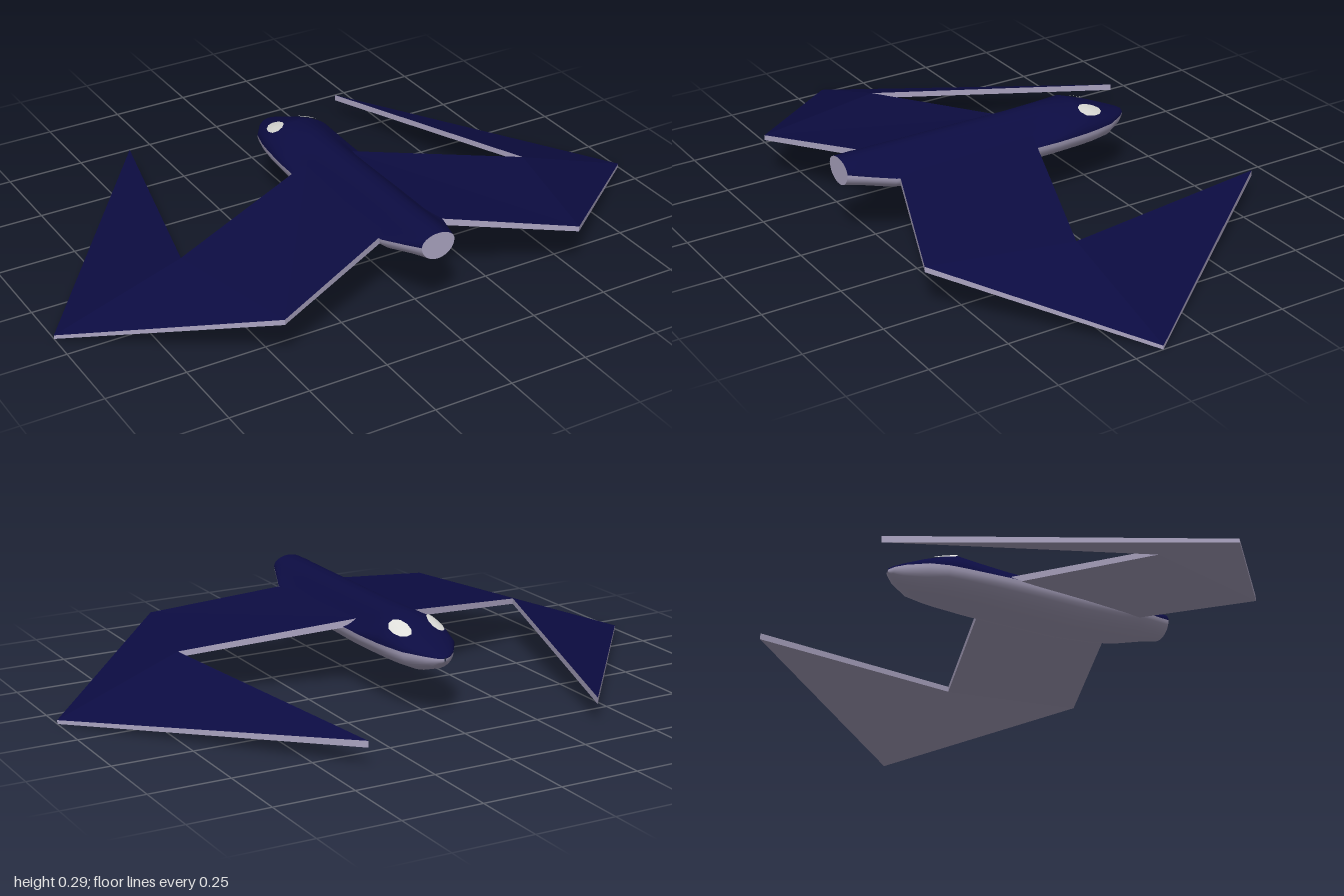
import * as THREE from 'three';

const navy = new THREE.MeshStandardMaterial({ name: 'navy', color: 0x0c0c42 });
const pale = new THREE.MeshStandardMaterial({ name: 'paleLavender', color: 0xaca5c2 });
const white = new THREE.MeshStandardMaterial({ name: 'eyeWhite', color: 0xdededa });

// Body stations: z, half width, top, seam height, bottom, shoulder amount
const stations = [
  [-0.385, 0.003, 0.199, 0.195, 0.186, 0],
  [-0.375, 0.025, 0.205, 0.197, 0.176, 0],
  [-0.350, 0.050, 0.215, 0.200, 0.157, 0],
  [-0.290, 0.090, 0.240, 0.204, 0.137, 0],
  [-0.230, 0.106, 0.264, 0.206, 0.134, 0],
  [-0.180, 0.113, 0.284, 0.206, 0.133, 0.1],
  [-0.080, 0.121, 0.286, 0.207, 0.133, 0.5],
  [0.020, 0.125, 0.286, 0.210, 0.133, 1],
  [0.250, 0.122, 0.286, 0.216, 0.137, 1],
  [0.400, 0.115, 0.286, 0.221, 0.153, 1],
  [0.480, 0.107, 0.286, 0.225, 0.170, 0.8],
  [0.560, 0.076, 0.286, 0.239, 0.190, 0.3],
  [0.615, 0.055, 0.284, 0.250, 0.200, 0]
];
const STEPS = 20;

// Height of the upper body as a fraction, for a sideways fraction 0..1
function upperHeight(t, shoulder) {
  const round = Math.sqrt(Math.max(0, 1 - t * t));
  const shouldered = 0.5 + 0.5 * Math.cos(Math.PI * Math.pow(t, 1.15));
  return THREE.MathUtils.lerp(round, shouldered, shoulder);
}

function bodyPoint([z, w, top, mid, bottom, shoulder], angle) {
  const c = Math.cos(angle), s = Math.sin(angle);
  const y = s >= 0
    ? mid + (top - mid) * upperHeight(Math.abs(c), shoulder)
    : mid + (mid - bottom) * s;
  return [w * c, y, z];
}

function makeGeometry(points, index) {
  const g = new THREE.BufferGeometry();
  g.setAttribute('position', new THREE.Float32BufferAttribute(points.flat(), 3));
  g.setIndex(index);
  return g;
}

// Half of the body skin, lofted through the stations
function bodyHalf(startAngle) {
  const points = [], index = [], n = STEPS + 1;
  stations.forEach((station, i) => {
    for (let j = 0; j < n; j++) {
      points.push(bodyPoint(station, startAngle + (Math.PI * j) / STEPS));
      if (i && j) {
        const d = i * n + j, c = d - 1, b = d - n, a = b - 1;
        index.push(a, b, c, b, d, c);
      }
    }
  });
  const g = makeGeometry(points, index);
  g.computeVertexNormals();
  return g;
}

// Flat end of the tail
function tailCap() {
  const last = stations[stations.length - 1];
  const points = [[0, last[3], last[0]]], index = [], n = STEPS * 2;
  for (let j = 0; j < n; j++) {
    points.push(bodyPoint(last, (2 * Math.PI * j) / n));
    index.push(0, 1 + j, 1 + ((j + 1) % n));
  }
  const g = makeGeometry(points, index);
  g.computeVertexNormals();
  return g;
}

// Height of the body surface above a point near the nose
function surfaceY(x, z) {
  let i = 0;
  while (i < stations.length - 2 && stations[i + 1][0] < z) i++;
  const k = (z - stations[i][0]) / (stations[i + 1][0] - stations[i][0]);
  const [, w, top, mid, , shoulder] = stations[i].map((v, m) => THREE.MathUtils.lerp(v, stations[i + 1][m], k));
  return mid + (top - mid) * upperHeight(Math.min(1, Math.abs(x) / w), shoulder);
}

// Eye: an oval patch laid just over the body surface
function eye(side) {
  const points = [], index = [], n = 10, rings = 4;
  for (let r = 0; r <= rings; r++) {
    for (let j = 0; j < n; j++) {
      const a = (2 * Math.PI * j) / n, k = r / rings;
      const dx = 0.025 * k * Math.cos(a), dz = 0.045 * k * Math.sin(a);
      const x = 0.061 + dx + dz * 0.15, z = -0.226 + dz;
      points.push([side * x, surfaceY(x, z) + 0.004, z]);
      if (r) {
        const c = r * n + j, d = r * n + ((j + 1) % n);
        index.push(c - n, d, c, c - n, d - n, d);
      }
    }
  }
  if (side < 0) index.reverse();
  const g = makeGeometry(points, index);
  g.computeVertexNormals();
  return g;
}

// Wing outline: x, top height, z, thickness
const wingOutline = [
  [0.07, 0.236, -0.008, 0.022], // front root
  [0.60, 0.157, 0.18, 0.018],   // notch
  [0.385, 0.080, -0.615, 0.020], // forward point
  [1.00, 0.012, 0.16, 0.012],   // outer corner
  [0.50, 0.156, 0.615, 0.017],  // rear corner
  [0.07, 0.232, 0.455, 0.022]   // rear root
];
const wingFaces = [[0, 4, 1], [0, 5, 4], [1, 4, 3], [1, 3, 2]];

// Wing slab: navy upper panels, pale rim and underside
function wing(side) {
  const n = wingOutline.length;
  const points = [
    ...wingOutline.map(([x, y, z]) => [side * x, y, z]),
    ...wingOutline.map(([x, y, z, t]) => [side * x, y - t, z])
  ];
  const upper = wingFaces.flat();
  const lower = wingFaces.flatMap(([a, b, c]) => [a + n, c + n, b + n]);
  for (let i = 0; i < n; i++) {
    const j = (i + 1) % n;
    lower.push(j + n, i + n, i, j + n, i, j);
  }
  // Reversing each list flips the winding for the mirrored wing
  if (side < 0) {
    upper.reverse();
    lower.reverse();
  }
  const g = makeGeometry(points, [...upper, ...lower]).toNonIndexed();
  g.computeVertexNormals();
  g.addGroup(0, upper.length, 0);
  g.addGroup(upper.length, lower.length, 1);
  return g;
}

export function createModel() {
  const model = new THREE.Group();
  model.name = 'glider';
  const add = (name, geometry, material) => {
    const mesh = new THREE.Mesh(geometry, material);
    mesh.name = name;
    model.add(mesh);
  };
  add('upperBody', bodyHalf(0), navy);
  add('lowerBody', bodyHalf(Math.PI), pale);
  add('tailCap', tailCap(), pale);
  for (const [side, label] of [[1, 'left'], [-1, 'right']]) {
    add(label + 'Wing', wing(side), [navy, pale]);
    add(label + 'Eye', eye(side), white);
  }
  return model;
}
